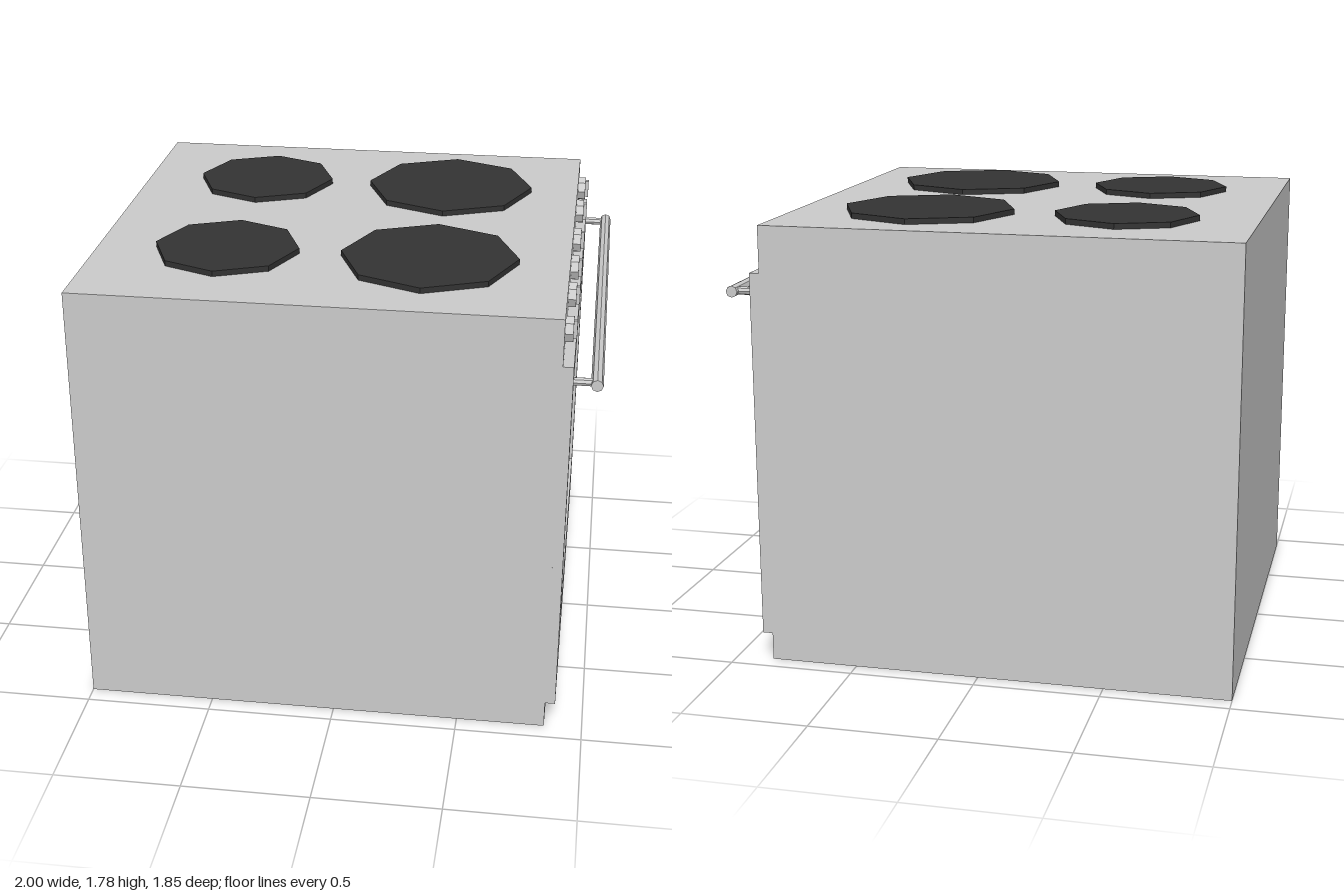
import * as THREE from 'three';

const grey = new THREE.MeshStandardMaterial({ color: 0xcccccc, flatShading: true });
const black = new THREE.MeshStandardMaterial({ color: 0x333333, flatShading: true });
const glass = new THREE.MeshStandardMaterial({ color: 0xd6e7e6, flatShading: true });

function add(parent, name, geometry, material, x, y, z) {
  const mesh = new THREE.Mesh(geometry, material);
  mesh.name = name;
  mesh.position.set(x, y, z);
  parent.add(mesh);
  return mesh;
}

// Box given by its lower and upper corners
function box(parent, name, material, [x0, y0, z0], [x1, y1, z1]) {
  return add(parent, name, new THREE.BoxGeometry(x1 - x0, y1 - y0, z1 - z0), material,
    (x0 + x1) / 2, (y0 + y1) / 2, (z0 + z1) / 2);
}

// Eight-sided cylinder lying along x, from x0 to x1
function rodX(parent, name, radius, x0, x1, y, z) {
  const geometry = new THREE.CylinderGeometry(radius, radius, x1 - x0, 8).rotateZ(-Math.PI / 2);
  return add(parent, name, geometry, grey, (x0 + x1) / 2, y, z);
}

export function createModel() {
  const stove = new THREE.Group();
  stove.name = 'stove';

  // Cabinet
  box(stove, 'cabinet', grey, [-1, 0, -0.927], [0.85, 1.76, 0.927]);

  // Oven door: frame with an opening and a slightly recessed pane
  const door = new THREE.Group();
  door.name = 'ovenDoor';
  const outline = new THREE.Shape([
    [-0.927, 0.11], [0.927, 0.11], [0.927, 1.575], [-0.927, 1.575],
  ].map(([a, b]) => new THREE.Vector2(a, b)));
  outline.holes.push(new THREE.Path([
    [-0.777, 0.325], [-0.777, 1.44], [0.777, 1.44], [0.777, 0.325],
  ].map(([a, b]) => new THREE.Vector2(a, b))));
  const frame = new THREE.ExtrudeGeometry(outline, { depth: 0.04, bevelEnabled: false });
  frame.rotateY(Math.PI / 2);
  add(door, 'doorFrame', frame, grey, 0.85, 0, 0);
  box(door, 'doorWindow', glass, [0.85, 0.325, -0.777], [0.877, 1.44, 0.777]);
  stove.add(door);

  // Handle bar on two posts
  const handle = new THREE.Group();
  handle.name = 'doorHandle';
  const bar = new THREE.CylinderGeometry(0.023, 0.023, 1.794, 8).rotateX(Math.PI / 2);
  add(handle, 'handleBar', bar, grey, 0.977, 1.493, 0);
  for (const z of [-0.865, 0.865]) rodX(handle, 'handlePost', 0.016, 0.88, 0.977, 1.493, z);
  stove.add(handle);

  // Control knobs with raised grips
  for (const z of [0.79, 0.457, 0.17, -0.142, -0.497, -0.8]) {
    const knob = new THREE.Group();
    knob.name = 'knob';
    rodX(knob, 'knobDial', 0.051, 0.85, 0.88, 1.667, z);
    box(knob, 'knobGrip', grey, [0.87, 1.632, z - 0.01], [0.893, 1.704, z + 0.01]);
    stove.add(knob);
  }

  // Hotplates
  for (const z of [-0.44, 0.408]) {
    for (const [x, radius] of [[-0.485, 0.285], [0.31, 0.346]]) {
      add(stove, 'hotplate', new THREE.CylinderGeometry(radius, radius, 0.032, 8), black, x, 1.766, z);
    }
  }
  return stove;
}
